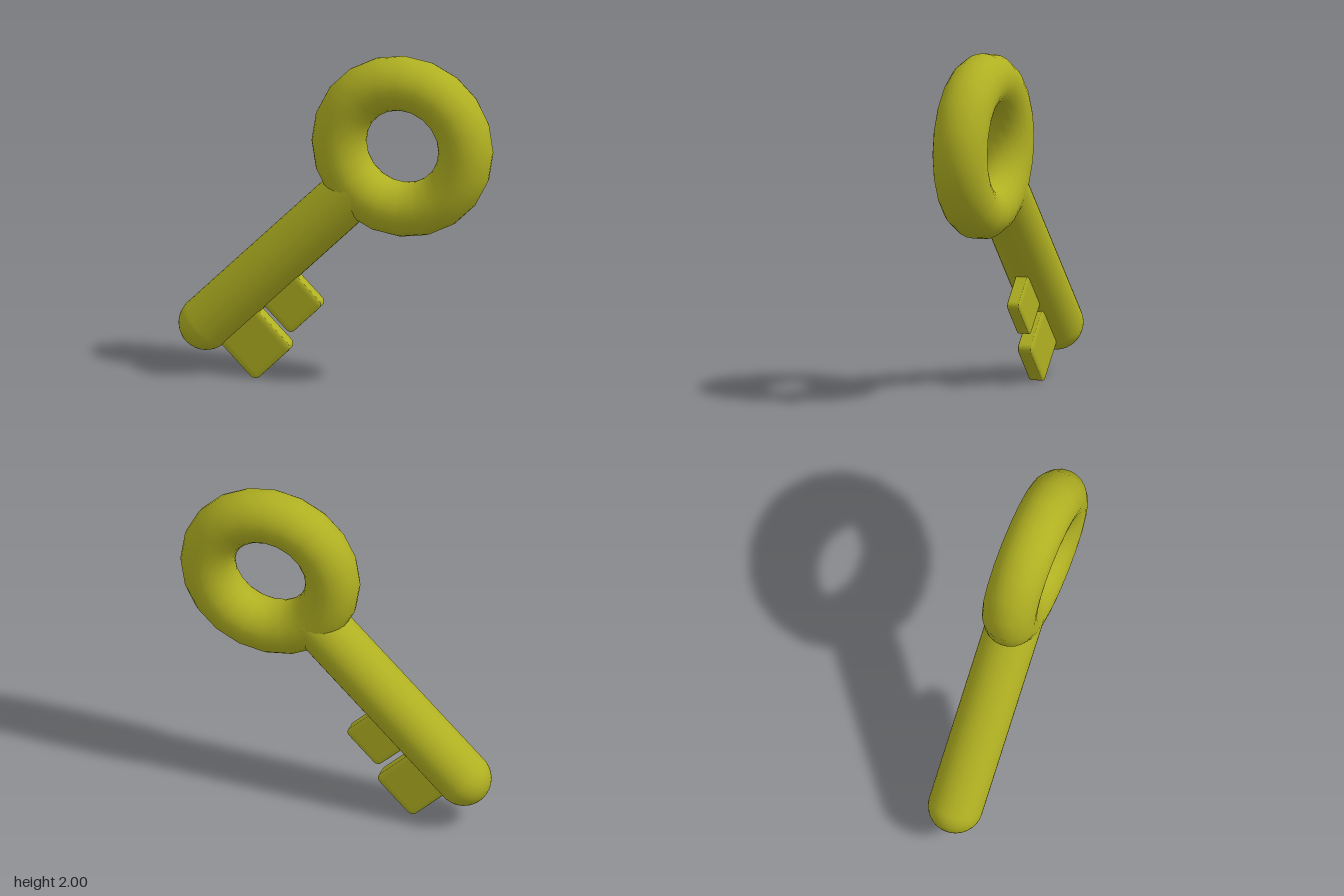
import * as THREE from 'three';
import { RoundedBoxGeometry } from 'three/addons/geometries/RoundedBoxGeometry.js';

export function createModel() {
  const model = new THREE.Group();
  model.name = 'key';
  const material = new THREE.MeshStandardMaterial({ color: 0xb0b022 });

  function add(parent, name, geometry, x, y) {
    const mesh = new THREE.Mesh(geometry, material);
    mesh.name = name;
    mesh.position.set(x, y, 0);
    parent.add(mesh);
    return mesh;
  }

  const tube = 0.157;

  // Ring handle, visibly 20-sided around its loop
  add(model, 'handleRing', new THREE.TorusGeometry(0.378, tube, 24, 20), 0.395, 1.465);

  // Blade: local y runs from the tip towards the ring, local x towards the teeth
  const blade = new THREE.Group();
  blade.name = 'blade';
  blade.position.set(-0.775, 0.295, 0);
  blade.rotation.z = -Math.PI / 4;
  model.add(blade);

  // Round-ended shaft, reaching the centre line of the ring
  const length = 1.277;
  add(blade, 'shaft', new THREE.CapsuleGeometry(tube + 0.001, length, 10, 32), 0, length / 2);

  // Two teeth: rounded cubes flattened front to back
  const teeth = [
    { name: 'largeTooth', size: 0.312, end: 0.433, along: 0.15 },
    { name: 'smallTooth', size: 0.276, end: 0.37, along: 0.491 },
  ];
  for (const { name, size, end, along } of teeth) {
    const geometry = new RoundedBoxGeometry(size, size, size, 4, size * 0.12);
    geometry.scale(1, 1, 0.3);
    add(blade, name, geometry, end - size / 2, along);
  }

  return model;
}
